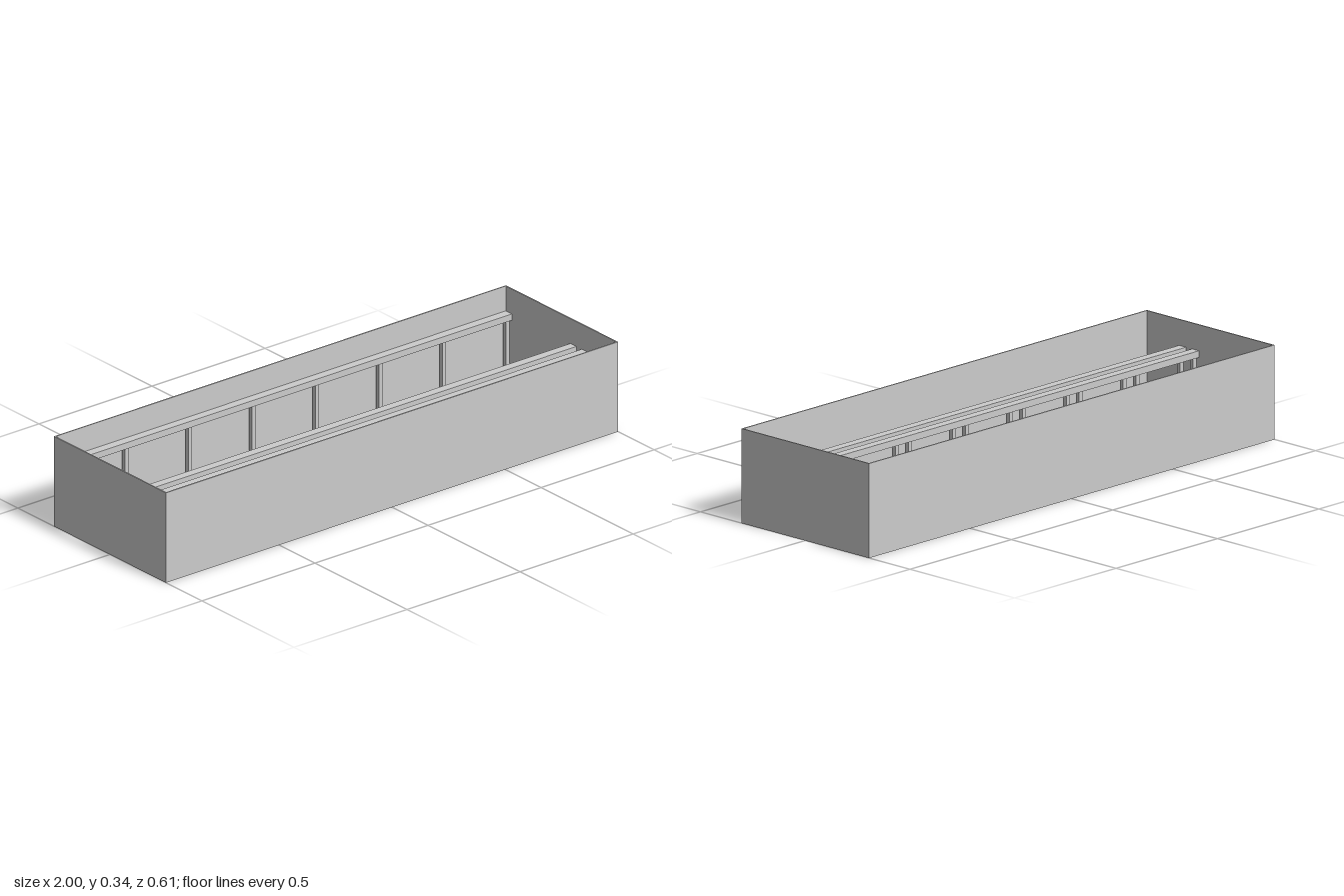
import * as THREE from 'three';

export function createModel() {
  const group = new THREE.Group();
  const material = new THREE.MeshStandardMaterial({ color: 0xcccccc, flatShading: true });
  const L = 2, D = 0.61, H = 0.338, T = 0.005;

  const box = (name, [w, h, d], [x, y, z], parent) => {
    const mesh = new THREE.Mesh(new THREE.BoxGeometry(w, h, d), material);
    mesh.name = name;
    mesh.position.set(x, y, z);
    parent.add(mesh);
  };

  // Enclosure: four thin walls, open above and below
  const walls = new THREE.Group();
  walls.name = 'enclosureWalls';
  group.add(walls);
  for (const [side, s] of [['front', 1], ['back', -1]])
    box(side + 'Wall', [L, H, T], [0, H / 2, s * (D - T) / 2], walls);
  for (const [side, s] of [['left', 1], ['right', -1]])
    box(side + 'Wall', [T, H, D - 2 * T], [s * (L - T) / 2, H / 2, 0], walls);

  // Three long rails, each carried by eight slim posts
  const railTop = 0.245, railH = 0.024, railW = 0.033, postW = 0.016, posts = 8;
  const rows = { backRail: -0.283, middleRail: 0.068, frontRail: 0.13 };
  for (const [name, z] of Object.entries(rows)) {
    const row = new THREE.Group();
    row.name = name + 'Row';
    group.add(row);
    box(name, [L - 2 * T, railH, railW], [0, railTop - railH / 2, z], row);
    const postH = railTop - railH;
    for (let i = 0; i < posts; i++) {
      const x = -0.983 + (1.966 * i) / (posts - 1);
      box('post', [postW, postH, postW], [x, postH / 2, z], row);
    }
  }
  return group;
}
